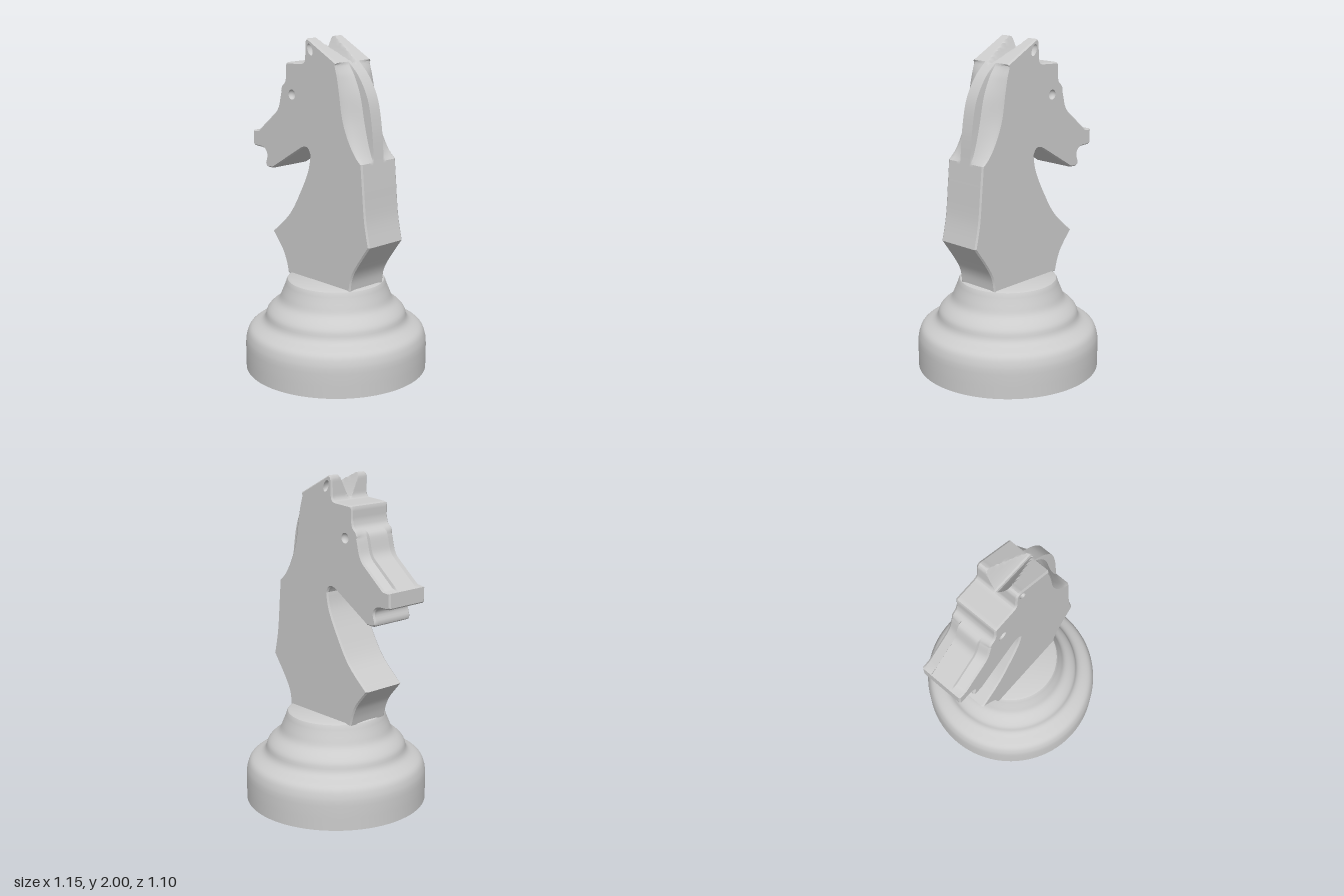
import * as THREE from 'three';
import { toCreasedNormals } from 'three/addons/utils/BufferGeometryUtils.js';

const T = 0.14; // half thickness of the horse
const { clamp } = THREE.MathUtils;

// Sample a smooth curve through flat [x, y, x, y, ...] points, without the last point
function sample(flat, step) {
  const pts = [];
  for (let i = 0; i < flat.length; i += 2) pts.push(new THREE.Vector2(flat[i], flat[i + 1]));
  const curve = pts.length > 2 ? new THREE.SplineCurve(pts) : new THREE.LineCurve(pts[0], pts[1]);
  return curve.getSpacedPoints(Math.max(2, Math.ceil(curve.getLength() / step))).slice(0, -1);
}

// Side outline, counterclockwise from the bottom of the chest; each row ends in a corner
function horseOutline() {
  const rows = [
    [-0.26, 0.55, 0.28, 0.55],
    [0.28, 0.55, 0.293, 0.63, 0.335, 0.71, 0.437, 0.85], // lower back
    [0.437, 0.85, 0.405, 1.0, 0.385, 1.2, 0.372, 1.34],
    [0.372, 1.34, 0.355, 1.52, 0.32, 1.68, 0.25, 1.8, 0.165, 1.88], // mane
    [0.165, 1.88, -0.04, 1.985],
    [-0.04, 1.985, -0.07, 2.0, -0.09, 1.995, -0.097, 1.975], // ear tip
    [-0.097, 1.975, -0.1, 1.885],
    [-0.1, 1.885, -0.106, 1.863, -0.125, 1.856],
    [-0.125, 1.856, -0.25, 1.848], // forehead
    [-0.25, 1.848, -0.264, 1.843, -0.268, 1.83],
    [-0.268, 1.83, -0.268, 1.77],
    [-0.268, 1.77, -0.278, 1.73, -0.3, 1.71],
    [-0.3, 1.71, -0.335, 1.685, -0.362, 1.59, -0.385, 1.555], // bridge of the nose
    [-0.385, 1.555, -0.575, 1.4],
    [-0.575, 1.4, -0.575, 1.315],
    [-0.575, 1.315, -0.56, 1.305, -0.48, 1.3, -0.45, 1.265, -0.463, 1.21, -0.445, 1.188, -0.39, 1.19], // mouth
    [-0.39, 1.19, -0.15, 1.335], // jaw
    [-0.15, 1.335, -0.115, 1.353, -0.08, 1.354, -0.058, 1.32],
    [-0.058, 1.32, -0.08, 1.22, -0.15, 1.08, -0.25, 0.925, -0.4, 0.79], // throat
    [-0.4, 0.79, -0.315, 0.69, -0.28, 0.62, -0.26, 0.55], // chest
  ];
  return rows.flatMap((r) => sample(r, 0.015));
}

// Outline at depth z: ear groove, cut mane sides, cut nose sides and a small edge bevel
function sliceAt(outline, z) {
  const d = Math.abs(z), n = outline.length;
  return outline.map((p, i) => {
    const e = outline[(i + 1) % n].clone().sub(outline[(i + n - 1) % n]).normalize();
    const normal = new THREE.Vector2(e.y, -e.x);
    let inset = d > T - 0.001 ? 0.008 : 0;
    let { x, y } = p;
    const u = clamp((y - 1.33) / 0.55, 0, 1);
    if (x > 0.1 && d > 0.041) {
      const amount = 0.055 + 0.07 * (d - 0.043) / (T - 0.043);
      x -= amount * Math.pow(Math.max(0, Math.sin(Math.PI * u)), 0.7);
    }
    if (x < -0.3 && y > 1.4 && d > 0.071) {
      const v = clamp((x + 0.575) / 0.275, 0, 1);
      inset += (0.016 + 0.012 * (d - 0.075) / (T - 0.075)) * Math.min(1, v * 8, (1 - v) * 8);
    }
    x -= normal.x * inset;
    y -= normal.y * inset;
    if (x > -0.13 && x < 0.2 && y > 1.865) {
      y = Math.min(y, 1.866 + 0.134 * Math.pow(Math.max(0, d - 0.005) / 0.07, 1.25));
    }
    return new THREE.Vector2(x, y);
  });
}

// Dents on both sides of the head: centre, radii, tilt and depth
const dents = [
  { name: 'eye', x: -0.212, y: 1.66, rx: 0.03, ry: 0.03, tilt: 0, depth: 0.025 },
  { name: 'ear', x: -0.052, y: 1.938, rx: 0.02, ry: 0.036, tilt: 0.45, depth: 0.03 },
];

function horseGeometry() {
  const outline = horseOutline();
  const half = [T, 0.13, 0.11, 0.09, 0.075, 0.07, 0.06, 0.05, 0.043, 0.04, 0.03, 0.02, 0.01];
  const depths = [...half, 0, ...half.map((z) => -z).reverse()];
  const pos = [], index = [], n = outline.length;
  depths.forEach((z) => sliceAt(outline, z).forEach((p) => pos.push(p.x, p.y, z)));
  for (let k = 0; k < depths.length - 1; k++) {
    for (let i = 0; i < n; i++) {
      const j = (i + 1) % n, a = k * n, b = a + n;
      index.push(a + i, b + i, b + j, a + i, b + j, a + j);
    }
  }
  // Flat sides, pierced where the dents go
  const face = new THREE.Shape(sliceAt(outline, T));
  for (const h of dents) {
    face.holes.push(new THREE.Path().absellipse(h.x, h.y, h.rx, h.ry, 0, Math.PI * 2, true, h.tilt));
  }
  const cap = new THREE.ShapeGeometry(face, 12);
  const cp = cap.attributes.position, ci = cap.index.array;
  for (const side of [1, -1]) {
    const start = pos.length / 3;
    for (let i = 0; i < cp.count; i++) pos.push(cp.getX(i), cp.getY(i), side * T);
    for (let i = 0; i < ci.length; i += 3) {
      const [a, b, c] = [ci[i], ci[i + 1], ci[i + 2]].map((v) => v + start);
      index.push(a, ...(side > 0 ? [b, c] : [c, b]));
    }
  }
  const geo = new THREE.BufferGeometry();
  geo.setAttribute('position', new THREE.Float32BufferAttribute(pos, 3));
  geo.setIndex(index);
  return toCreasedNormals(geo, 0.5);
}

export function createModel() {
  const model = new THREE.Group();
  const grey = new THREE.MeshStandardMaterial({ color: 0xcccccc });
  const greyDouble = new THREE.MeshStandardMaterial({ color: 0xcccccc, side: THREE.DoubleSide });
  const add = (name, geo, mat = grey) => {
    const mesh = new THREE.Mesh(geo, mat);
    mesh.name = name;
    model.add(mesh);
    return mesh;
  };

  // Turned base
  const profile = [
    ...sample([0, 0, 0.551, 0], 1),
    ...sample([0.551, 0, 0.552, 0.15], 1),
    ...sample([0.552, 0.15, 0.546, 0.2, 0.522, 0.252, 0.455, 0.288, 0.432, 0.315, 0.42, 0.355,
      0.395, 0.385, 0.348, 0.425, 0.325, 0.475, 0.303, 0.53, 0.297, 0.55, 0.28, 0.56], 0.015),
    new THREE.Vector2(0.28, 0.56),
    new THREE.Vector2(0, 0.56),
  ];
  add('base', toCreasedNormals(new THREE.LatheGeometry(profile, 96), 0.6)).position.x = 0.02;

  // Horse head and neck
  add('horseHead', horseGeometry());

  // Hollow eyes and ears on both sides
  for (const h of dents) {
    for (const side of [1, -1]) {
      const bowl = new THREE.SphereGeometry(1, 24, 8, 0, Math.PI * 2, Math.PI / 2, Math.PI / 2);
      bowl.rotateX(side * Math.PI / 2).scale(h.rx, h.ry, h.depth).rotateZ(h.tilt);
      add(h.name + (side > 0 ? 'Front' : 'Back'), bowl, greyDouble).position.set(h.x, h.y, side * T);
    }
  }
  return model;
}
